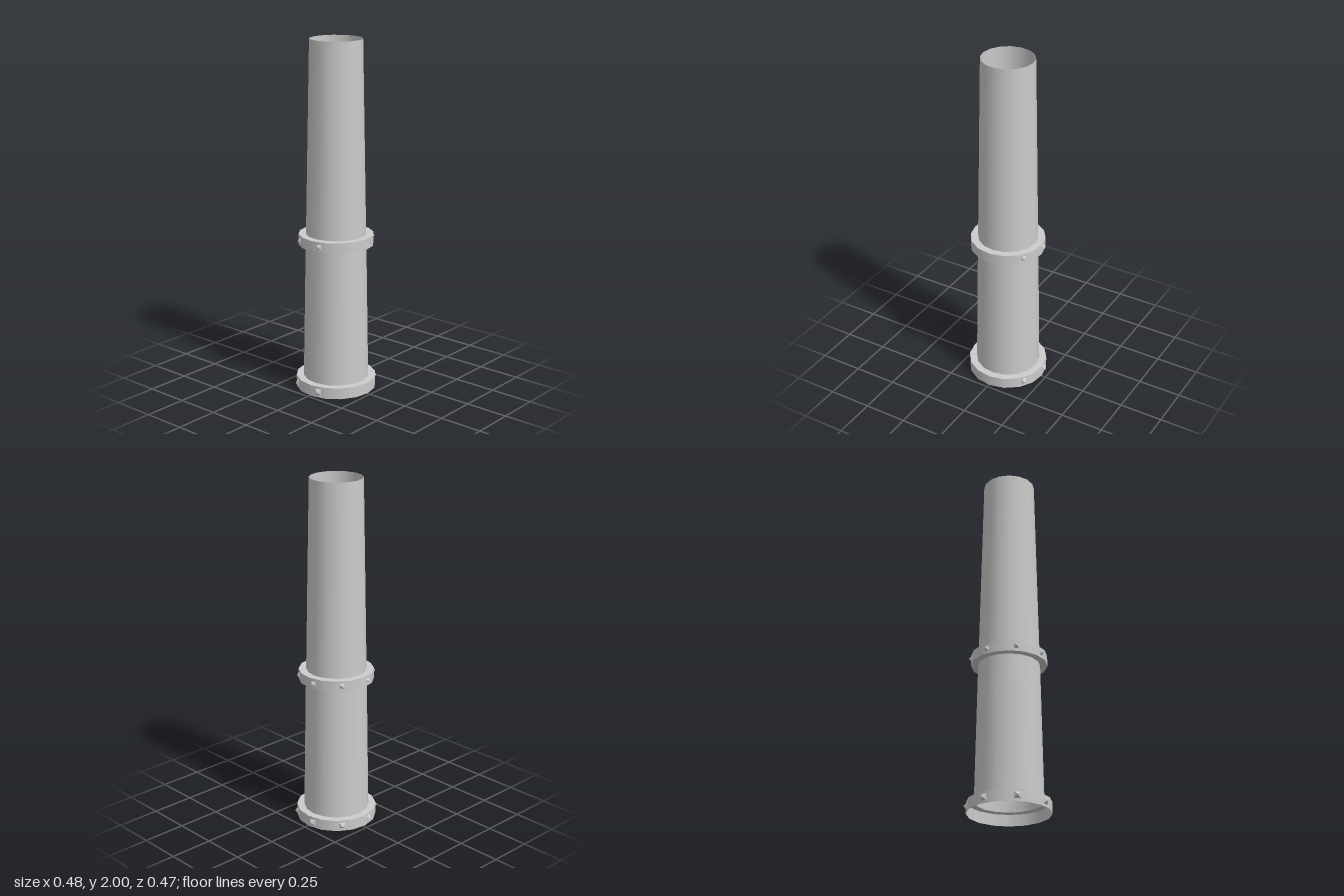
import * as THREE from 'three';

const SIDES = 16;
const RING_TURN = THREE.MathUtils.degToRad(2.2);
// stud directions around the axis, measured from +x towards +z; the front is left bare
const STUD_ANGLES = [34.8, -9, -54.7, -101, -147.5, -193.6];

export function createModel() {
  const model = new THREE.Group();
  model.name = 'chimney';
  const shellMat = new THREE.MeshStandardMaterial({ color: 0xcccccc, side: THREE.DoubleSide });
  const studMat = new THREE.MeshStandardMaterial({ color: 0xcccccc, flatShading: true });

  // one straight band of the shell, from (r0, y0) to (r1, y1), smooth around and sharp at its ends
  function band(name, r0, y0, r1, y1) {
    const points = [new THREE.Vector2(r0, y0), new THREE.Vector2(r1, y1)];
    const mesh = new THREE.Mesh(new THREE.LatheGeometry(points, SIDES, RING_TURN), shellMat);
    mesh.name = name;
    return mesh;
  }

  // four-sided pyramids with their tips pointing outwards
  function studs(name, y, half, baseR, tipR) {
    const group = new THREE.Group();
    group.name = name;
    const geo = new THREE.ConeGeometry(half * Math.SQRT2, tipR - baseR, 4);
    geo.rotateY(Math.PI / 4);
    geo.rotateZ(-Math.PI / 2);
    geo.translate((baseR + tipR) / 2, 0, 0);
    for (const degrees of STUD_ANGLES) {
      const stud = new THREE.Mesh(geo, studMat);
      stud.name = 'stud';
      stud.position.y = y;
      stud.rotation.y = -THREE.MathUtils.degToRad(degrees);
      group.add(stud);
    }
    return group;
  }

  // base collar, open underneath
  const baseCollar = new THREE.Group();
  baseCollar.name = 'baseCollar';
  baseCollar.add(
    band('baseCollarWall', 0.229, 0, 0.229, 0.065),
    band('baseCollarTop', 0.229, 0.065, 0.187, 0.065),
    studs('baseCollarStuds', 0.033, 0.02, 0.222, 0.243)
  );

  // middle collar
  const middleCollar = new THREE.Group();
  middleCollar.name = 'middleCollar';
  middleCollar.add(
    band('middleCollarUnderside', 0.172, 0.85, 0.212, 0.85),
    band('middleCollarWall', 0.212, 0.85, 0.212, 0.91),
    band('middleCollarTop', 0.212, 0.91, 0.17, 0.91),
    studs('middleCollarStuds', 0.881, 0.016, 0.205, 0.225)
  );

  // tapering hollow pipe, open at the top
  model.add(
    baseCollar,
    band('lowerPipe', 0.187, 0.065, 0.172, 0.85),
    middleCollar,
    band('upperPipe', 0.17, 0.91, 0.147, 2)
  );
  for (const part of model.children) part.position.set(-0.004, 0, 0.002);
  return model;
}
